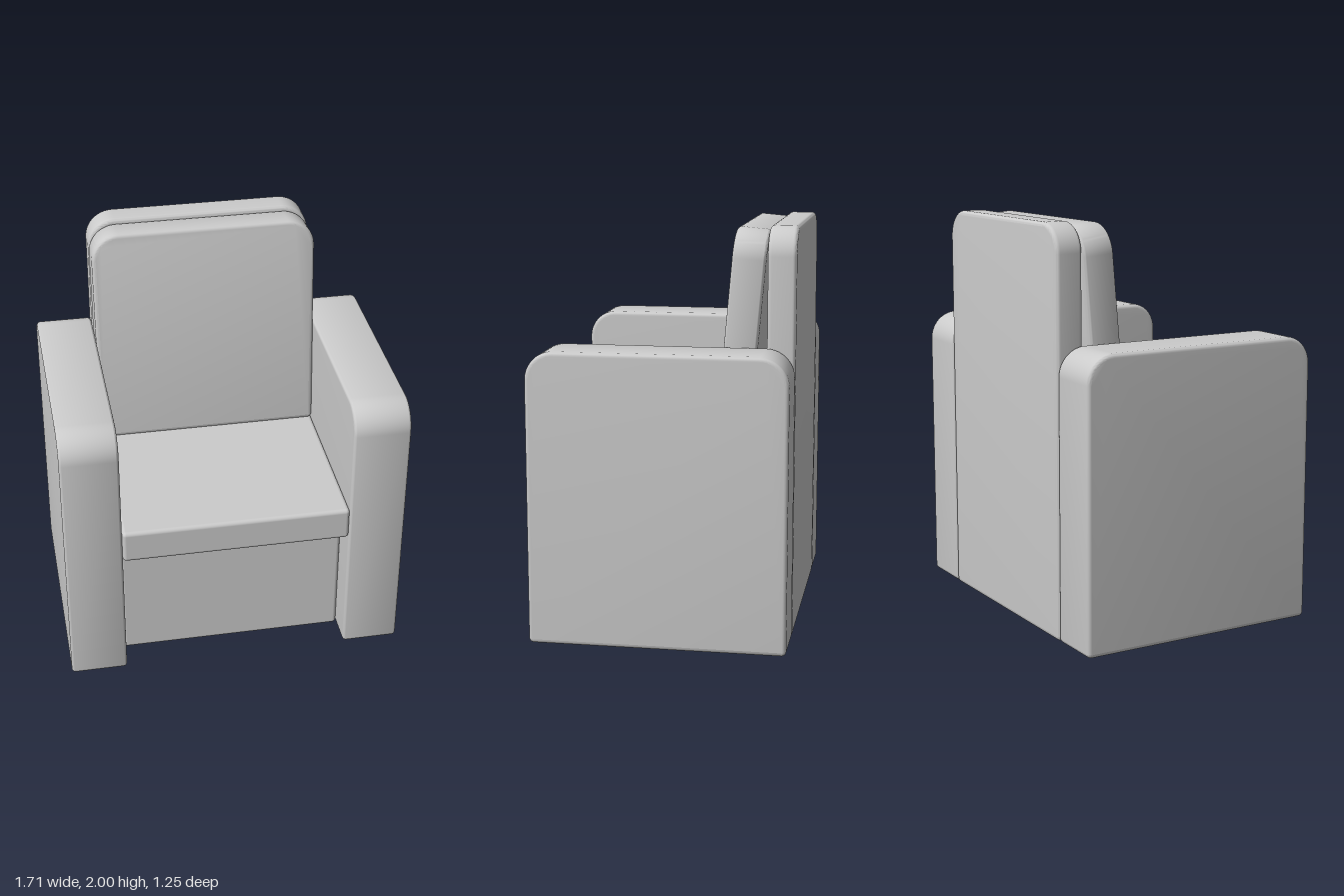
import * as THREE from 'three';
import { toCreasedNormals } from 'three/addons/utils/BufferGeometryUtils.js';
import { RoundedBoxGeometry } from 'three/addons/geometries/RoundedBoxGeometry.js';

const EDGE = 0.02; // soft edge radius shared by all parts
const material = new THREE.MeshStandardMaterial({ color: 0xcccccc });

function addMesh(parent, name, geometry, x, y, z) {
  const mesh = new THREE.Mesh(geometry, material);
  mesh.name = name;
  mesh.position.set(x, y, z);
  parent.add(mesh);
  return mesh;
}

// Upright slab standing on y = 0, centred in x and z, with large rounded top corners
function slabGeometry(width, height, thickness, topRadius) {
  const w = width / 2 - EDGE, bottom = EDGE, top = height - EDGE;
  const r = topRadius - EDGE, c = 0.004;
  const shape = new THREE.Shape();
  shape.moveTo(-w + c, bottom);
  shape.lineTo(w - c, bottom);
  shape.absarc(w - c, bottom + c, c, -Math.PI / 2, 0, false);
  shape.lineTo(w, top - r);
  shape.absarc(w - r, top - r, r, 0, Math.PI / 2, false);
  shape.lineTo(-w + r, top);
  shape.absarc(-w + r, top - r, r, Math.PI / 2, Math.PI, false);
  shape.lineTo(-w, bottom + c);
  shape.absarc(-w + c, bottom + c, c, Math.PI, Math.PI * 1.5, false);
  const depth = thickness - 2 * EDGE;
  const geometry = new THREE.ExtrudeGeometry(shape, {
    depth, curveSegments: 10, bevelEnabled: true,
    bevelSize: EDGE, bevelThickness: EDGE, bevelSegments: 5,
  });
  geometry.translate(0, 0, -depth / 2);
  return toCreasedNormals(geometry, 0.7);
}

export function createModel() {
  const chair = new THREE.Group();
  chair.name = 'armchair';

  // Arms: slabs turned sideways so the rounded corners face front and back
  const armGeometry = slabGeometry(1.25, 1.43, 0.285, 0.14).rotateY(Math.PI / 2);
  for (const [name, side] of [['leftArm', 1], ['rightArm', -1]]) {
    addMesh(chair, name, armGeometry, side * 0.7125, 0, 0);
  }

  // Full-height back panel
  addMesh(chair, 'backPanel', slabGeometry(1.14, 2, 0.138, 0.14), 0, 0, -0.556);

  // Base, set back beneath the seat cushion
  addMesh(chair, 'base', new RoundedBoxGeometry(1.14, 0.688, 0.957, 4, EDGE), 0, 0.344, -0.0085);
  addMesh(chair, 'seatCushion', new RoundedBoxGeometry(1.14, 0.172, 1.112, 4, EDGE), 0, 0.774, 0.069);

  // Back cushion, leaning back against the panel
  const backCushion = addMesh(chair, 'backCushion', slabGeometry(1.14, 1.138, 0.163, 0.14), 0, 0.852, -0.311);
  backCushion.rotation.x = -THREE.MathUtils.degToRad(5);

  return chair;
}
